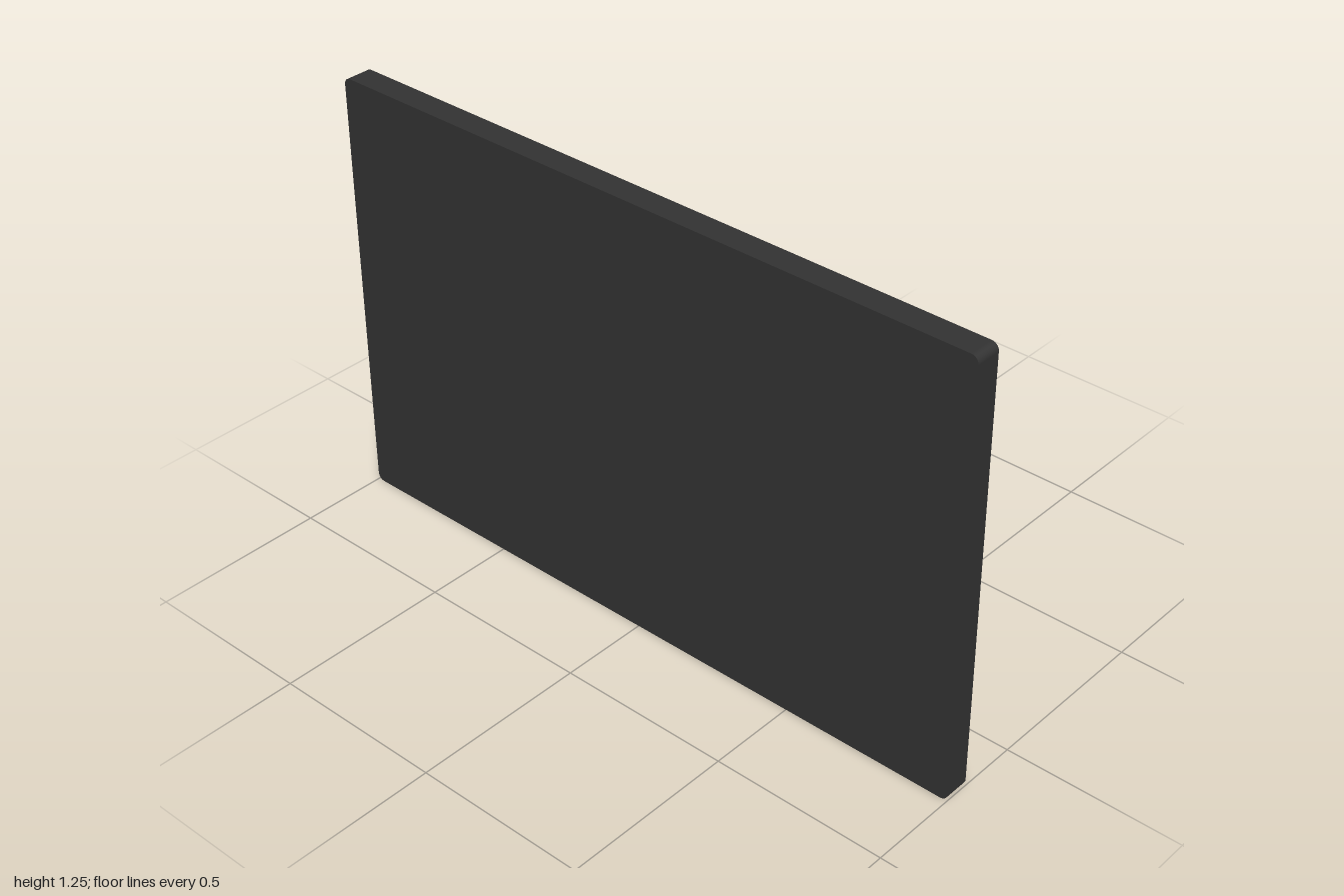
import * as THREE from 'three';
import { RoundedBoxGeometry } from 'three/addons/geometries/RoundedBoxGeometry.js';

const MID_Y = 0.627;

// Rectangle with rounded corners, centred on the origin
function roundedRect(w, h, r) {
  const x = w / 2, y = h / 2;
  const s = new THREE.Shape();
  s.absarc(x - r, y - r, r, 0, Math.PI / 2);
  s.absarc(-x + r, y - r, r, Math.PI / 2, Math.PI);
  s.absarc(-x + r, -y + r, r, Math.PI, Math.PI * 1.5);
  s.absarc(x - r, -y + r, r, Math.PI * 1.5, Math.PI * 2);
  s.closePath();
  return s;
}

export function createModel() {
  const model = new THREE.Group();
  model.name = 'wallMountedScreen';
  const charcoal = new THREE.MeshStandardMaterial({ color: 0x333333 });
  charcoal.name = 'charcoal';

  const add = (name, geometry, y, z) => {
    const mesh = new THREE.Mesh(geometry, charcoal);
    mesh.name = name;
    mesh.position.set(0, y, z);
    model.add(mesh);
  };

  // Flat screen panel with rounded corners and square edges
  add('screenPanel', new THREE.ExtrudeGeometry(roundedRect(2, 1.254, 0.02),
    { depth: 0.073, bevelEnabled: false, curveSegments: 6 }), MID_Y, 0.172);

  // Arm reaching from the panel back to the wall plate
  add('mountArm', new RoundedBoxGeometry(0.13, 0.13, 0.39, 4, 0.015), MID_Y, -0.02);

  // Square wall plate with softened edges
  add('wallPlate', new RoundedBoxGeometry(0.4, 0.4, 0.04, 4, 0.014), MID_Y, -0.225);

  return model;
}
